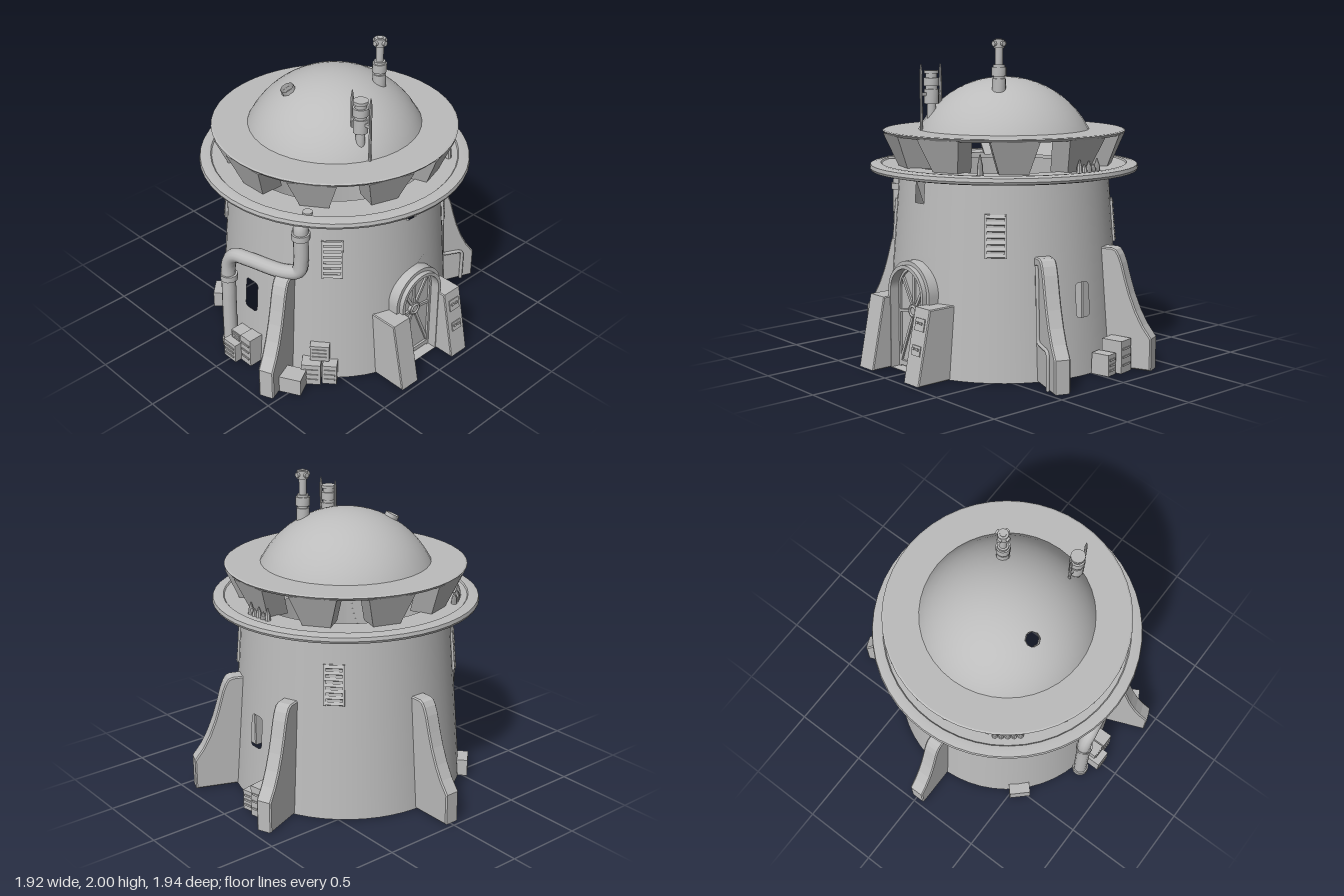
import * as THREE from 'three';
import { toCreasedNormals } from 'three/addons/utils/BufferGeometryUtils.js';
import { ParametricGeometry } from 'three/addons/geometries/ParametricGeometry.js';

const plaster = new THREE.MeshStandardMaterial({ color: 0xbcbcbc, side: THREE.DoubleSide });
plaster.name = 'grey plaster';
const V2 = (x, y) => new THREE.Vector2(x, y);
const V3 = (x, y, z) => new THREE.Vector3(x, y, z);
const wallR = y => 0.752 - 0.078 * y;
const SLOPE = -Math.atan(0.078);

export function createModel() {
  const model = new THREE.Group();
  const tower = new THREE.Group();
  tower.name = 'tower';
  tower.position.set(-0.01, 0, 0.05);
  model.add(tower);

  const add = (name, geo, parent = tower, x = 0, y = 0, z = 0) => {
    const m = new THREE.Mesh(geo, plaster);
    m.name = name;
    m.position.set(x, y, z);
    parent.add(m);
    return m;
  };
  // group at a polar angle (0 = front) whose +z points outward
  const at = (name, angle, r = 0, y = 0) => {
    const g = new THREE.Group();
    g.name = name;
    g.position.set(Math.sin(angle) * r, y, Math.cos(angle) * r);
    g.rotation.y = angle;
    tower.add(g);
    return g;
  };
  const box = (name, parent, w, h, d, x, y, z) => add(name, new THREE.BoxGeometry(w, h, d), parent, x, y, z);
  const cyl = (name, parent, r0, r1, y0, y1, x, z, n = 12) =>
    add(name, toCreasedNormals(new THREE.CylinderGeometry(r1, r0, y1 - y0, n), 0.7), parent, x, (y0 + y1) / 2, z);
  const lathe = (name, pts, n = 48) =>
    add(name, toCreasedNormals(new THREE.LatheGeometry(pts.map(p => V2(...p)), n), 0.35));
  const extrude = (shape, depth, bevel = 0) => new THREE.ExtrudeGeometry(shape, {
    depth: depth - 2 * bevel, bevelEnabled: bevel > 0, bevelSize: bevel, bevelThickness: bevel, bevelOffset: -bevel, bevelSegments: 1, curveSegments: 20 });
  // side profile (outward, up) given a thickness
  const slab = (pts, thick, bevel) => extrude(new THREE.Shape(pts.map(p => V2(...p))), thick, bevel)
    .translate(0, 0, -thick / 2 + bevel).rotateY(-Math.PI / 2);
  const arch = (T, r, cy, y0 = 0) => {
    const s = new T();
    s.moveTo(-r, y0); s.lineTo(r, y0); s.lineTo(r, cy);
    s.absarc(0, cy, r, 0, Math.PI, false);
    s.lineTo(-r, y0);
    return s;
  };

  // tapering wall: plain sectors, and sectors with an opening wrapped round the curve
  const plain = (a0, a1, y0 = 0, y1 = 1.2) => add('wall', new THREE.CylinderGeometry(
    wallR(y1), wallR(y0), y1 - y0, Math.ceil((a1 - a0) / 0.12), 1, true, a0, a1 - a0), tower, 0, (y0 + y1) / 2);
  const pierced = (name, angle, half, y0, y1, hole) => {
    const w = half * 0.72, pts = [];
    for (let i = 0; i <= 6; i++) pts.push(V2(-w + w * i / 3, y0));
    for (let i = 6; i >= 0; i--) pts.push(V2(-w + w * i / 3, y1));
    const shape = new THREE.Shape(pts);
    shape.holes.push(hole);
    const geo = new THREE.ShapeGeometry(shape, 10), p = geo.attributes.position;
    for (let i = 0; i < p.count; i++) {
      const a = angle + p.getX(i) / 0.72, y = p.getY(i), r = wallR(y);
      p.setXYZ(i, Math.sin(a) * r, y, Math.cos(a) * r);
      geo.attributes.normal.setXYZ(i, Math.sin(a), 0.078, Math.cos(a));
    }
    add(name, geo);
  };
  const roundRect = (w, h, cy, r) => {
    const p = new THREE.Path(), c = [[w - r, h - r, 0], [r - w, h - r, 1], [r - w, r - h, 2], [w - r, r - h, 3]];
    c.forEach(([x, y, q]) => p.absarc(x, cy + y, r, q * Math.PI / 2, (q + 1) * Math.PI / 2, false));
    return p;
  };
  const H = Math.PI / 2;
  pierced('doorWall', 0, 0.27, 0, 0.72, arch(THREE.Path, 0.165, 0.485, 0.002));
  pierced('slotWall', 0, 0.1, 0.72, 1.2, roundRect(0.045, 0.073, 1.097, 0.004));
  plain(-0.27, -0.1, 0.72);
  plain(0.1, 0.27, 0.72);
  for (const s of [-1, 1]) pierced('windowWall', s * H, 0.12, 0, 1.2, roundRect(0.053, 0.105, 0.455, 0.025));
  plain(0.27, H - 0.12);
  plain(H + 0.12, 3 * H - 0.12);
  plain(3 * H + 0.12, 4 * H - 0.27);
  const slot = box('slotBack', tower, 0.1, 0.17, 0.008, 0, 1.095, 0.63);
  slot.rotation.x = 0.35;

  // overhanging ledge, roof ring and slanted struts between them
  lathe('ledge', [[0.6, 1.185], [0.8, 1.177], [0.838, 1.185], [0.845, 1.2], [0.84, 1.222], [0.8, 1.23],
    [0.775, 1.23], [0.768, 1.222], [0.6, 1.222], [0.6, 1.185]]);
  lathe('roofRing', [[0.5, 1.415], [0.75, 1.415], [0.763, 1.432], [0.752, 1.437], [0.5, 1.437], [0.5, 1.415]]);
  for (let k = 0; k < 10; k++) {
    const geo = new THREE.BoxGeometry(1, 1, 1), p = geo.attributes.position;
    for (let i = 0; i < p.count; i++) {
      const top = p.getY(i) > 0, out = p.getZ(i) > 0;
      p.setXYZ(i, Math.sign(p.getX(i)) * (top ? 0.145 : 0.085), top ? 1.42 : 1.215,
        top ? (out ? 0.75 : 0.6) : (out ? 0.668 : 0.52));
    }
    geo.computeVertexNormals();
    add('strut', geo, at('strutMount', (k + 0.5) * Math.PI / 5));
  }

  // dome, swept from a small round opening to the rim
  const domeY = (x, z) => 1.433 + Math.sqrt(Math.max(0.607 ** 2 - x * x - z * z, 0)) - 0.277;
  add('dome', new ParametricGeometry((u, v, out) => {
    const a = u * Math.PI * 2, t = v;
    const x = (1 - t) * (-0.27 + 0.04 * Math.sin(a)) + t * 0.54 * Math.sin(a);
    const z = (1 - t) * (-0.12 + 0.04 * Math.cos(a)) + t * 0.54 * Math.cos(a);
    out.set(x, domeY(x, z), z);
  }, 40, 14));
  const collar = add('domeOpeningCollar', new THREE.CylinderGeometry(0.045, 0.045, 0.05, 8, 1, true), tower, -0.27, domeY(-0.27, -0.12), -0.12);
  collar.rotation.set(-0.2, 0, 0.4);

  // curved buttress fins
  const fin = [[0.66, 0], [1.02, 0], [1.02, 0.2], [0.965, 0.275], [0.92, 0.36], [0.88, 0.46], [0.853, 0.547],
    [0.825, 0.65], [0.805, 0.7], [0.785, 0.73], [0.76, 0.74], [0.66, 0.74]];
  for (const a of [Math.PI, H - 0.384, H + 0.384, 0.384 - H]) add('fin', slab(fin, 0.1, 0.008), at('finMount', a));
  const conduit = new THREE.CatmullRomCurve3([[0.74, 0.7], [0.755, 0.6], [0.77, 0.27], [0.79, 0.24], [0.91, 0.23], [0.93, 0.2], [0.93, 0]]
    .map(([r, y]) => V3(-0.055, y, r)), false, 'catmullrom', 0.2);
  add('finConduit', new THREE.TubeGeometry(conduit, 40, 0.012, 6), at('conduitMount', H - 0.384));

  // doorway: stepped arch, door leaf with hub and spokes, side pillars
  const ring = (name, r0, r1, cy, z0, z1) => {
    const s = arch(THREE.Shape, r1, cy);
    s.holes.push(arch(THREE.Path, r0, cy, 0.002));
    add(name, toCreasedNormals(extrude(s, z1 - z0), 0.5), tower, 0, 0, z0);
  };
  ring('outerArch', 0.17, 0.196, 0.485, 0.66, 0.755);
  ring('innerArch', 0.15, 0.172, 0.485, 0.66, 0.785);
  add('doorLeaf', extrude(arch(THREE.Shape, 0.165, 0.485), 0.02), tower, 0, 0, 0.69);
  ring('doorRim', 0.135, 0.155, 0.485, 0.7, 0.725);
  const hub = add('doorHub', new THREE.CylinderGeometry(0.045, 0.045, 0.03, 16), tower, 0, 0.37, 0.715);
  hub.rotation.x = H;
  add('hubRing', new THREE.TorusGeometry(0.03, 0.008, 6, 16), tower, 0, 0.37, 0.73);
  for (const [x, y] of [[0, 0.63], [0.11, 0.56], [-0.11, 0.56], [0.14, 0.35], [-0.14, 0.35], [0.14, 0.04], [-0.14, 0.04]]) {
    const dy = y - 0.37;
    const spoke = box('doorSpoke', tower, 0.018, Math.hypot(x, dy), 0.02, x / 2, 0.37 + dy / 2, 0.713);
    spoke.rotation.z = Math.atan2(-x, dy);
  }
  box('doorSill', tower, 0.29, 0.03, 0.02, 0, 0.025, 0.715);
  for (const s of [-1, 1]) {
    add('doorPillar', slab([[0.62, 0], [0.92, 0], [0.83, 0.445], [0.62, 0.445]], 0.145, 0.006), tower, s * 0.228);
  }
  for (const [w, h, y] of [[0.085, 0.075, 0.35], [0.08, 0.06, 0.2]]) {
    const z = 0.92 - 0.202 * y;
    box('controlPlate', tower, w, h, 0.012, 0.232, y, z).rotation.x = -0.2;
    for (const x of [-0.02, 0.015]) box('controlButton', tower, 0.02, 0.014, 0.012, 0.232 + x, y + 0.01, z + 0.007).rotation.x = -0.2;
  }

  // louvred vents
  for (let k = 0; k < 4; k++) {
    const vent = at('vent', (k + 0.5) * H, wallR(0.863), 0.863);
    vent.rotation.order = 'YXZ';
    vent.rotation.x = SLOPE;
    box('ventBack', vent, 0.125, 0.26, 0.008, 0, 0, -0.002);
    for (const s of [-1, 1]) box('ventSide', vent, 0.014, 0.26, 0.018, s * 0.058, 0, 0.002);
    for (let i = 0; i < 7; i++) box('louvre', vent, 0.11, 0.02, 0.018, 0, -0.114 + i * 0.038, 0.006).rotation.x = -0.4;
  }

  // wall pipe with collars
  const pipe = new THREE.CatmullRomCurve3([[-0.5, 1.125, 0.29], [-0.57, 1.125, 0.33], [-0.615, 1.1, 0.355], [-0.622, 1.04, 0.36],
    [-0.622, 0.86, 0.36], [-0.63, 0.78, 0.345], [-0.675, 0.755, 0.26], [-0.735, 0.745, 0.02], [-0.755, 0.725, -0.1],
    [-0.76, 0.65, -0.155], [-0.765, 0.4, -0.165], [-0.77, 0, -0.165]].map(p => V3(...p)), false, 'centripetal');
  add('pipe', new THREE.TubeGeometry(pipe, 90, 0.046, 14));
  cyl('pipeCollar', tower, 0.057, 0.057, 1.02, 1.06, -0.622, 0.36, 14);
  cyl('pipeCollar', tower, 0.055, 0.055, 0.52, 0.56, -0.762, -0.16, 14);
  cyl('pipeFoot', tower, 0.055, 0.055, 0, 0.05, -0.77, -0.165, 14);

  // equipment boxes round the foot: [width, height, depth, x, base, z]
  const equipment = (name, angle, r, list) => {
    const g = at(name, angle, r);
    for (const [w, h, d, x, y, z] of list) {
      box('cabinet', g, w, h, d, x, y + h / 2, z);
      for (let i = 1; i < 4; i++) box('cabinetRib', g, w * 0.75, 0.012, 0.012, x, y + h * i / 4, z + d / 2);
    }
  };
  equipment('frontEquipment', -0.87, 0.76, [[0.12, 0.15, 0.13, -0.06, 0, 0], [0.09, 0.14, 0.1, 0.055, 0, 0], [0.12, 0.11, 0.08, -0.01, 0.155, -0.02]]);
  equipment('leftEquipment', -H, 0.8, [[0.11, 0.13, 0.15, -0.05, 0, 0], [0.09, 0.2, 0.1, 0.055, 0, -0.02], [0.09, 0.06, 0.09, -0.04, 0.13, -0.02]]);
  equipment('rightEquipment', H + 0.2, 0.83, [[0.11, 0.2, 0.14, 0.04, 0, 0], [0.08, 0.13, 0.12, -0.07, 0, -0.02], [0.04, 0.11, 0.08, 0.115, 0, -0.02]]);
  box('sideBox', at('sideBoxMount', -1.077, 0.88), 0.17, 0.115, 0.12, 0, 0.0575, 0);
  box('rearBox', at('rearBoxMount', -2.38, 0.765), 0.14, 0.11, 0.09, 0, 0.055, 0);

  // mast on the dome
  const mast = at('mast', 0);
  mast.position.set(0.182, 0, 0.197);
  [[0.042, 1.66, 1.76], [0.034, 1.76, 1.775], [0.045, 1.775, 1.83], [0.036, 1.83, 1.845], [0.024, 1.845, 1.95], [0.034, 1.945, 1.995]]
    .forEach(([r, a, b]) => cyl('mastSection', mast, r, r, a, b, 0, 0));
  for (const q of [0, H]) {
    const knob = add('mastKnob', new THREE.CylinderGeometry(0.016, 0.016, 0.092, 8), mast, 0, 1.97, 0);
    knob.rotation.set(H, 0, q);
  }
  cyl('mastTip', mast, 0.02, 0.02, 1.99, 2, 0, 0);

  // sensor with two rods
  const sensor = at('sensor', 0);
  sensor.position.set(-0.198, 0, 0.42);
  [[0.028, 1.5, 1.6], [0.046, 1.6, 1.69], [0.038, 1.69, 1.71], [0.048, 1.71, 1.76], [0.036, 1.76, 1.785], [0.045, 1.785, 1.805]]
    .forEach(([r, a, b]) => cyl('sensorSection', sensor, r, r, a, b, 0, 0));
  for (const [z, y0] of [[0.08, 1.435], [-0.07, 1.6]]) {
    cyl('sensorRod', sensor, 0.009, 0.009, y0, 1.8, 0, z, 8);
    cyl('rodTip', sensor, 0.009, 0.003, 1.8, 1.845, 0, z, 8);
    box('rodBracket', sensor, 0.016, 0.02, Math.abs(z), 0, 1.66, z / 2);
  }

  // small spikes standing on the ledge
  const spike = (a, h) => {
    const x = Math.sin(a) * 0.71, z = Math.cos(a) * 0.71;
    cyl('spikeBase', tower, 0.02, 0.016, 1.215, 1.215 + h * 0.55, x, z, 8);
    cyl('spikeTip', tower, 0.015, 0.004, 1.215 + h * 0.55, 1.215 + h, x, z, 8);
  };
  spike(0.66, 0.13);
  [0.08, 0.05, 0.07, 0.05, 0.08].forEach((h, i) => {
    spike(H - 0.04 + i * 0.055, h);
    spike(-2.6 + i * 0.055, h);
  });
  const hatch = add('ledgeHatch', new THREE.CylinderGeometry(0.03, 0.03, 0.015, 12), tower, -0.62, 1.232, 0.42);
  hatch.rotation.y = 0.2;
  return model;
}
